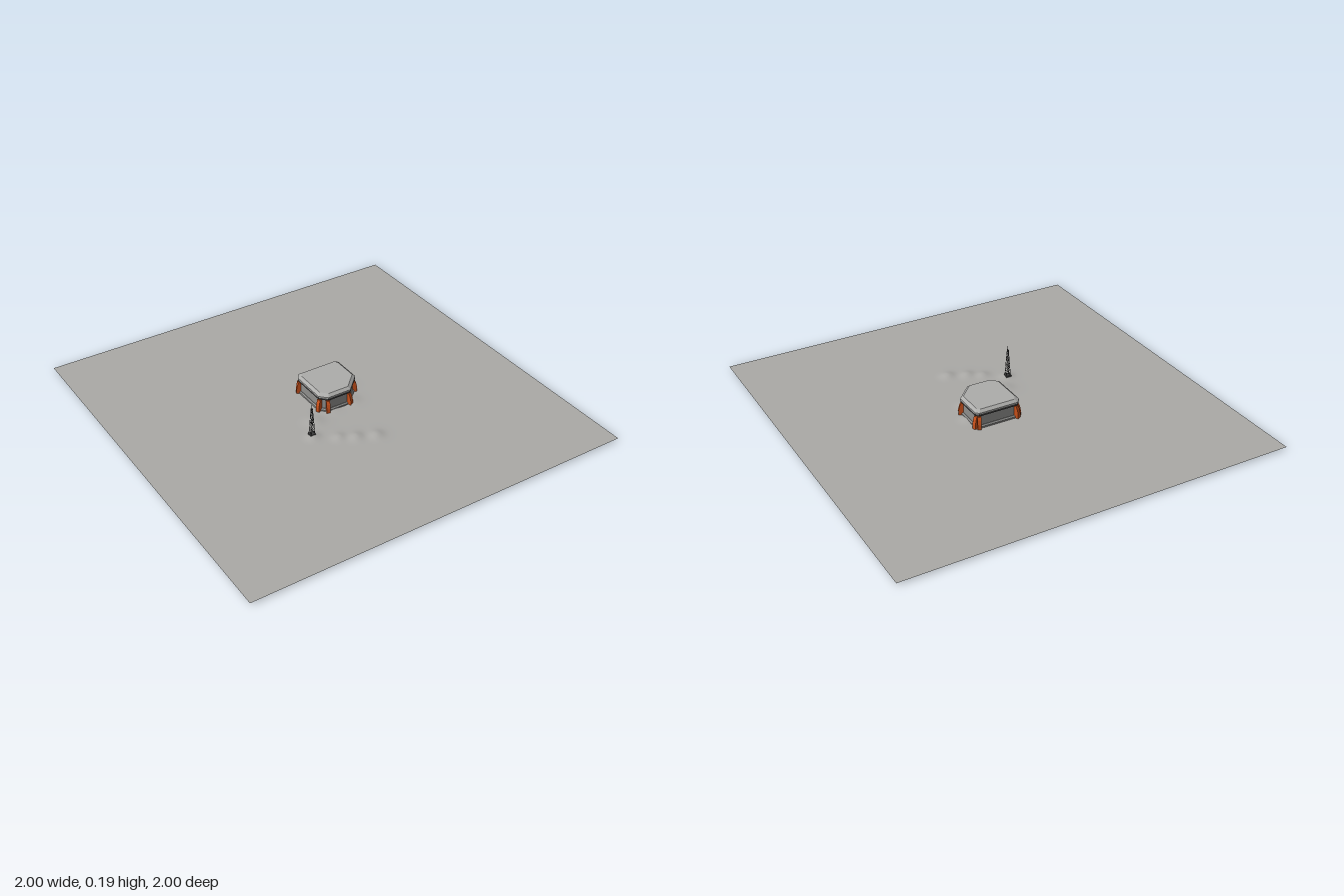
import * as THREE from 'three';

const mat = (name, color, side = THREE.FrontSide) => {
  const m = new THREE.MeshStandardMaterial({ color, side });
  m.name = name;
  return m;
};

// Irregular eight-sided plan [x, z], counter-clockwise from above
const PLAN = [[0.18, 0], [0.18, -0.15], [0.165, -0.165], [-0.045, -0.165],
  [-0.067, -0.138], [-0.067, 0.05], [-0.033, 0.085], [0.095, 0.085]];
const CX = 0.056, CZ = -0.04, HALF = 0.124, GROUND = 0.01;

// Faceted solid through rings of [inset, height], closed at both ends
function stack(rings) {
  const pos = [];
  const loops = rings.map(([inset, y]) => {
    const s = 1 - inset / HALF;
    return PLAN.map(([x, z]) => [CX + (x - CX) * s, y, CZ + (z - CZ) * s]);
  });
  const first = loops[0], last = loops[loops.length - 1], n = PLAN.length;
  for (let i = 0; i < n; i++) {
    const j = (i + 1) % n;
    for (let k = 0; k < loops.length - 1; k++) {
      const a = loops[k], b = loops[k + 1];
      pos.push(...a[i], ...a[j], ...b[j], ...a[i], ...b[j], ...b[i]);
    }
    pos.push(CX, last[0][1], CZ, ...last[i], ...last[j]);
    pos.push(CX, first[0][1], CZ, ...first[j], ...first[i]);
  }
  const g = new THREE.BufferGeometry();
  g.setAttribute('position', new THREE.Float32BufferAttribute(pos, 3));
  g.computeVertexNormals();
  return g;
}

// Low drifts: [x, z, radius, height]
const DRIFTS = [[-0.1, 0.28, 0.04, 0.012], [-0.03, 0.32, 0.045, 0.014], [0.06, 0.36, 0.045, 0.014],
  [-0.2, 0.21, 0.04, 0.013], [-0.13, 0.11, 0.06, 0.01], [0.12, 0.06, 0.05, 0.01],
  [0.17, -0.06, 0.045, 0.01], [0, 0.06, 0.05, 0.008]];

function groundGeometry() {
  const g = new THREE.PlaneGeometry(2, 2, 120, 120).rotateX(-Math.PI / 2);
  const p = g.attributes.position;
  for (let i = 0; i < p.count; i++) {
    let y = GROUND;
    for (const [x, z, r, h] of DRIFTS) {
      const d = ((p.getX(i) - x) ** 2 + (p.getZ(i) - z) ** 2) / (r * r);
      y += h * Math.exp(-d * 1.8);
    }
    p.setY(i, y);
  }
  g.computeVertexNormals();
  return g;
}

export function createModel() {
  const model = new THREE.Group();
  model.name = 'outpost';
  const groundMat = mat('ground grey', 0xaaa9a6, THREE.DoubleSide);
  const wallMat = mat('wall grey', 0x8e8e8c);
  const roofMat = mat('roof grey', 0xadadab);
  const darkMat = mat('dark trim', 0x3c3c3c);
  const orangeMat = mat('orange', 0xc8501a);
  const steelMat = mat('mast steel', 0x444444);
  const add = (parent, name, geo, material) => {
    const m = new THREE.Mesh(geo, material);
    m.name = name;
    parent.add(m);
    return m;
  };

  add(model, 'ground', groundGeometry(), groundMat);

  // Bunker: plinth, walls, dark band and bevelled roof slab
  const bunker = new THREE.Group();
  bunker.name = 'bunker';
  model.add(bunker);
  add(bunker, 'plinth', stack([[0.002, 0], [0.002, 0.018], [0.008, 0.024]]), wallMat);
  add(bunker, 'walls', stack([[0.01, 0.02], [0.01, 0.078]]), wallMat);
  add(bunker, 'darkBand', stack([[0.008, 0.074], [0.001, 0.079], [0.001, 0.09]]), darkMat);
  add(bunker, 'roof', stack([[0, 0.09], [0, 0.097], [0.015, 0.109]]), roofMat);

  // Orange buttress at every corner, facing outward
  const profile = new THREE.Shape([[-0.015, 0], [0.006, 0], [0.009, 0.012], [0.009, 0.035],
    [0.004, 0.058], [-0.003, 0.074], [-0.015, 0.074]].map(([x, y]) => new THREE.Vector2(x, y)));
  const buttressGeo = new THREE.ExtrudeGeometry(profile, { depth: 0.018, bevelEnabled: false });
  buttressGeo.translate(0, 0, -0.009);
  PLAN.forEach(([x, z], i) => {
    const [px, pz] = PLAN[(i + 7) % 8], [nx, nz] = PLAN[(i + 1) % 8];
    const a = new THREE.Vector2(x - px, z - pz).normalize();
    const b = new THREE.Vector2(nx - x, nz - z).normalize();
    const t = a.add(b);
    const m = add(bunker, 'buttress', buttressGeo, orangeMat);
    m.position.set(x, 0, z);
    m.rotation.y = Math.atan2(-t.x, -t.y);
  });

  // Tapered lattice mast
  const mast = new THREE.Group();
  mast.name = 'mast';
  mast.position.set(-0.2, 0, 0.2);
  model.add(mast);
  const up = new THREE.Vector3(0, 1, 0);
  const strut = (name, a, b, r) => {
    const d = b.clone().sub(a);
    const m = add(mast, name, new THREE.CylinderGeometry(r, r, d.length(), 4), steelMat);
    m.position.copy(a).add(b).multiplyScalar(0.5);
    m.quaternion.setFromUnitVectors(up, d.normalize());
  };
  const corner = (k, y) => {
    const w = 0.012 - 0.0095 * (y / 0.17);
    const s = [[1, 1], [1, -1], [-1, -1], [-1, 1]][k % 4];
    return new THREE.Vector3(s[0] * w, y, s[1] * w);
  };
  const LEVELS = 8, STEP = 0.155 / LEVELS;
  for (let k = 0; k < 4; k++) {
    strut('mastLeg', corner(k, 0.008), corner(k, 0.17), 0.0012);
    for (let l = 0; l < LEVELS; l++) {
      const y0 = 0.015 + l * STEP, y1 = y0 + STEP;
      strut('mastBrace', corner(k + (l % 2), y0), corner(k + 1 - (l % 2), y1), 0.0008);
      strut('mastRing', corner(k, y1), corner(k + 1, y1), 0.0008);
    }
  }
  strut('mastTip', new THREE.Vector3(0, 0.165, 0), new THREE.Vector3(0, 0.188, 0), 0.0015);
  const foot = add(mast, 'mastFoot', new THREE.BoxGeometry(0.028, 0.02, 0.028), steelMat);
  foot.position.y = 0.014;

  return model;
}
